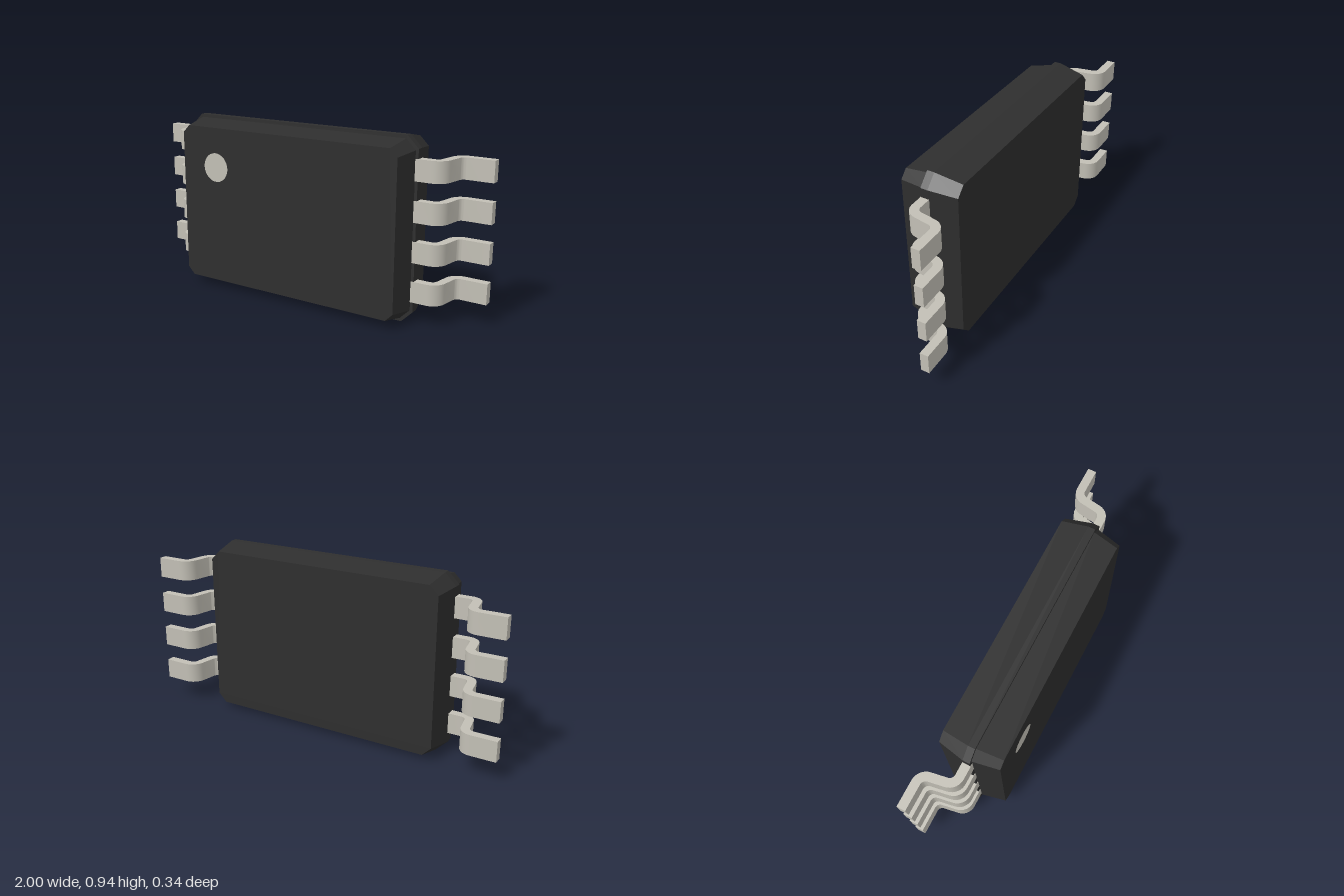
import * as THREE from 'three';
import { toCreasedNormals } from 'three/addons/utils/BufferGeometryUtils.js';

const CENTER_Y = 0.469;

// Rings of the body from back to front: z, half width, half height, corner chamfer
const RINGS = [
  [-0.14, 0.657, 0.44, 0.047],
  [0.0, 0.687, 0.469, 0.06],
  [0.037, 0.687, 0.469, 0.06],
  [0.037, 0.672, 0.452, 0.052],
  [0.171, 0.645, 0.425, 0.04],
];

// Chamfered rectangle, anticlockwise seen from +z
function ring([z, w, h, c]) {
  return [
    [w, -h + c], [w, h - c], [w - c, h], [-w + c, h],
    [-w, h - c], [-w, -h + c], [-w + c, -h], [w - c, -h],
  ].map(([x, y]) => [x, y, z]);
}

// Faceted body lofted through the rings, closed at both ends
function bodyGeometry() {
  const rings = RINGS.map(ring);
  const out = [];
  const tri = (a, b, c) => out.push(...a, ...b, ...c);
  for (let k = 0; k < rings.length - 1; k++) {
    for (let i = 0; i < 8; i++) {
      const j = (i + 1) % 8;
      const a = rings[k], b = rings[k + 1];
      tri(a[i], a[j], b[j]);
      tri(a[i], b[j], b[i]);
    }
  }
  const back = rings[0], front = rings[rings.length - 1];
  for (let i = 1; i < 7; i++) {
    tri(front[0], front[i], front[i + 1]);
    tri(back[0], back[i + 1], back[i]);
  }
  const geo = new THREE.BufferGeometry();
  geo.setAttribute('position', new THREE.Float32BufferAttribute(out, 3));
  geo.computeVertexNormals();
  return geo;
}

// Bent strip: the centre line (x, z) has two rounded bends, thickened and extruded along y
function pinGeometry(side) {
  const thick = 0.045, height = 0.108, radius = 0.05, steps = 8;
  const low = new THREE.Vector2(0.795, 0.0165);
  const high = new THREE.Vector2(0.823, -0.1495);
  const leg = high.clone().sub(low).normalize();
  const turn = Math.acos(leg.x);
  const cut = radius * Math.tan(turn / 2);
  const line = [{ x: 0.66, z: low.y, a: 0 }];
  for (let i = 0; i <= steps; i++) {
    const a = turn * i / steps;
    line.push({ x: low.x - cut + radius * Math.sin(a), z: low.y - radius * (1 - Math.cos(a)), a });
  }
  for (let i = steps; i >= 0; i--) {
    const a = turn * i / steps;
    line.push({ x: high.x + cut - radius * Math.sin(a), z: high.y + radius * (1 - Math.cos(a)), a });
  }
  line.push({ x: 1, z: high.y, a: 0 });

  // Shape plane is (x, -z), which the rotation below lays onto the xz plane
  const edge = (s) => line.map((p) => new THREE.Vector2(
    side * (p.x - s * thick / 2 * Math.sin(p.a)),
    -p.z + s * thick / 2 * Math.cos(p.a),
  ));
  const shape = new THREE.Shape([...edge(1), ...edge(-1).reverse()]);
  const geo = new THREE.ExtrudeGeometry(shape, { depth: height, bevelEnabled: false });
  geo.translate(0, 0, -height / 2);
  geo.rotateX(-Math.PI / 2);
  return toCreasedNormals(geo, 0.6);
}

export function createModel() {
  const plastic = new THREE.MeshStandardMaterial({ color: 0x2e2e2e });
  plastic.name = 'black plastic';
  const metal = new THREE.MeshStandardMaterial({ color: 0xc2bfb5 });
  metal.name = 'pale metal';

  const model = new THREE.Group();
  model.name = 'chip';
  const add = (name, geo, mat, x, y, z) => {
    const mesh = new THREE.Mesh(geo, mat);
    mesh.name = name;
    mesh.position.set(x, y, z);
    model.add(mesh);
  };

  add('body', bodyGeometry(), plastic, 0, CENTER_Y, 0);

  // Round marker near one corner of the front face
  add('markerDot', new THREE.CircleGeometry(0.078, 40), metal, -0.426, 0.681, 0.1725);

  // Four pins on each side
  for (const [name, side] of [['leftPin', 1], ['rightPin', -1]]) {
    const geo = pinGeometry(side);
    for (let i = 0; i < 4; i++) {
      add(name + (i + 1), geo, metal, 0, 0.471 + (i - 1.5) * 0.203, 0);
    }
  }
  return model;
}
